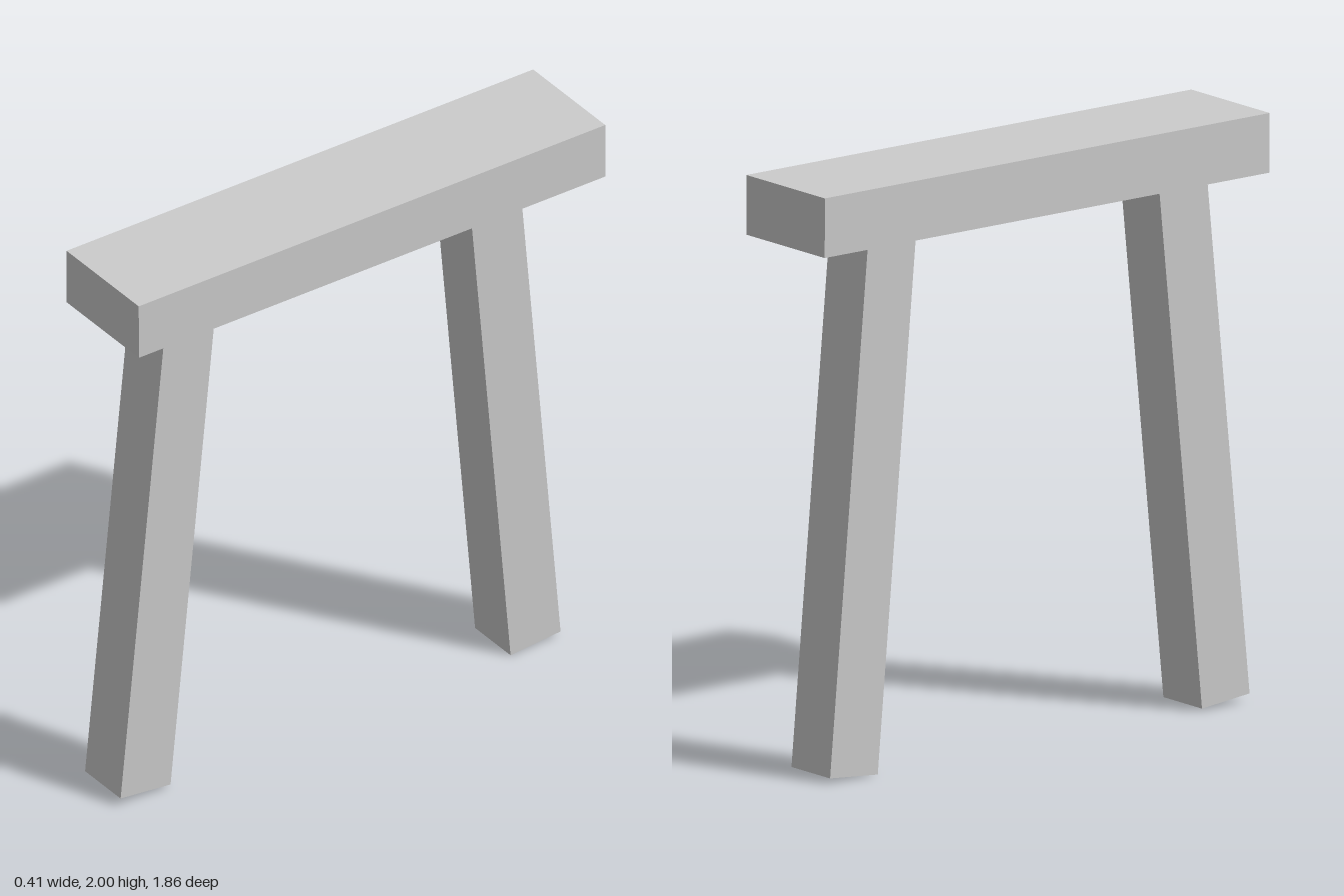
import * as THREE from 'three';

const material = new THREE.MeshStandardMaterial({ color: 0xcccccc, flatShading: true });

function addBox(group, name, size, position, tilt) {
  const mesh = new THREE.Mesh(new THREE.BoxGeometry(...size), material);
  mesh.name = name;
  mesh.position.set(...position);
  mesh.rotation.x = tilt;
  group.add(mesh);
}

// Square post from its foot centre to its top centre, in the plane x = 0
function addLeg(group, name, [footY, footZ], [topY, topZ]) {
  const dy = topY - footY, dz = topZ - footZ;
  addBox(group, name, [0.2, Math.hypot(dy, dz), 0.2],
    [0, (footY + topY) / 2, (footZ + topZ) / 2], Math.atan2(dz, dy));
}

export function createModel() {
  const group = new THREE.Group();
  group.name = 'trestle';

  // Top beam, dipping very slightly towards the front
  addBox(group, 'topBeam', [0.406, 0.2, 1.86], [0, 1.898, 0], 0.0023);

  // Splayed legs, ending inside the beam
  addLeg(group, 'frontLeg', [0.02, 0.83], [1.85, 0.645]);
  addLeg(group, 'backLeg', [0.01, -0.725], [1.85, -0.56]);

  return group;
}
